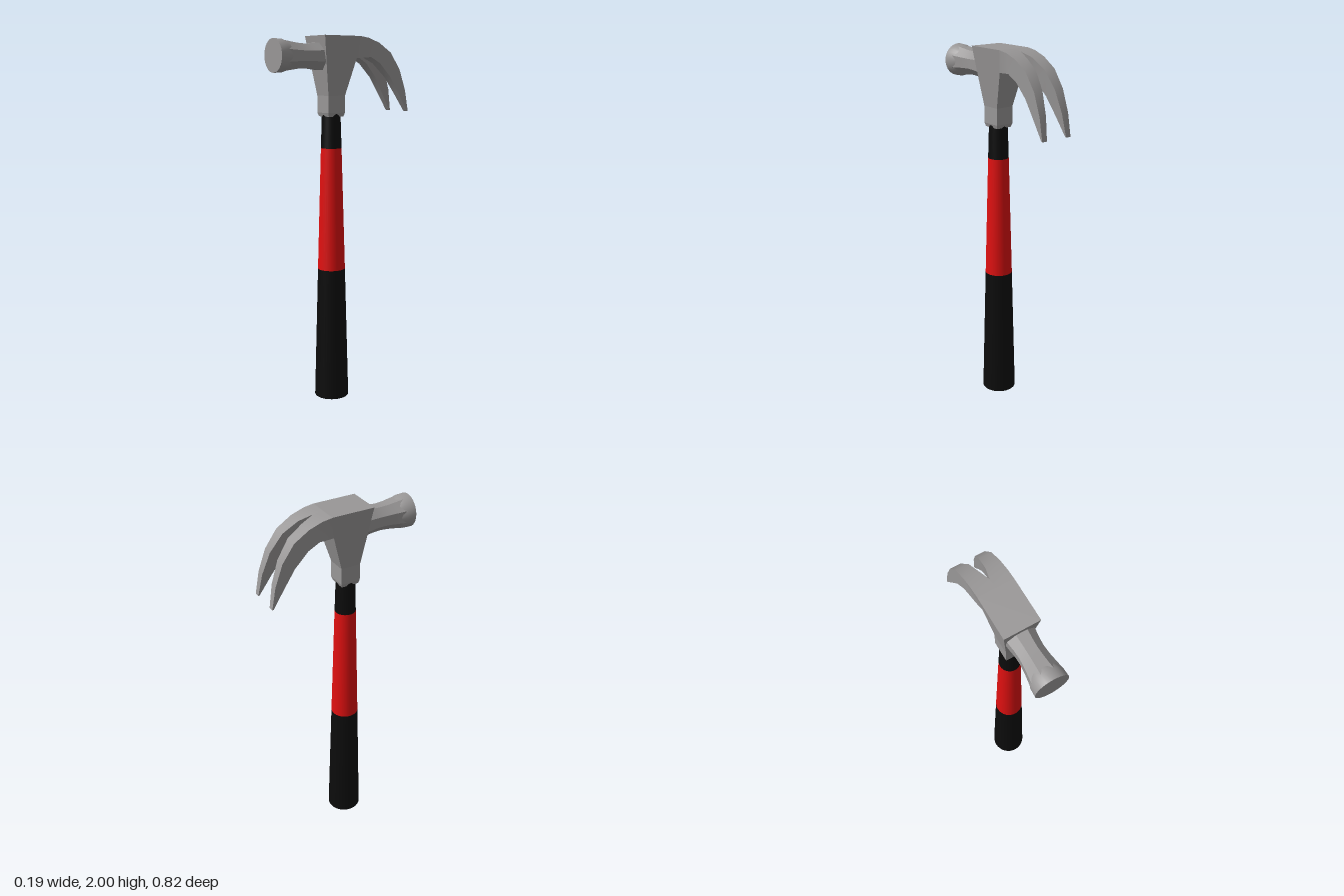
import * as THREE from 'three';
import { toCreasedNormals } from 'three/addons/utils/BufferGeometryUtils.js';

// Skins a stack of equal rings (counterclockwise seen from the far end) and caps both ends.
function loft(rings, crease) {
  const pos = [];
  const tri = (a, b, c) => pos.push(...a, ...b, ...c);
  const n = rings[0].length;
  for (let k = 0; k < rings.length - 1; k++) {
    const a = rings[k], b = rings[k + 1];
    for (let i = 0; i < n; i++) {
      const j = (i + 1) % n;
      tri(a[i], a[j], b[j]);
      tri(a[i], b[j], b[i]);
    }
  }
  const first = rings[0], last = rings[rings.length - 1];
  for (let i = 1; i < n - 1; i++) {
    tri(first[0], first[i + 1], first[i]);
    tri(last[0], last[i], last[i + 1]);
  }
  const geo = new THREE.BufferGeometry();
  geo.setAttribute('position', new THREE.Float32BufferAttribute(pos, 3));
  geo.computeVertexNormals();
  return crease ? toCreasedNormals(geo, crease) : geo;
}

export function createModel() {
  const group = new THREE.Group();
  const material = (name, color) => new THREE.MeshStandardMaterial({ name, color });
  const steel = material('steel', 0x999797);
  const black = material('black rubber', 0x0c0c0c);
  const red = material('red paint', 0xe01010);

  const add = (name, geo, mat) => {
    const mesh = new THREE.Mesh(geo, mat);
    mesh.name = name;
    group.add(mesh);
    return mesh;
  };

  // Tapered handle in three bands
  const band = (name, y0, y1, r0, r1, mat) =>
    add(name, new THREE.CylinderGeometry(r1, r0, y1 - y0, 32), mat).position.set(0, (y0 + y1) / 2, 0.052);
  band('grip', 0, 0.74, 0.095, 0.075, black);
  band('handleShaft', 0.74, 1.41, 0.075, 0.056, red);
  band('handleCollar', 1.41, 1.6, 0.056, 0.05, black);

  // Head block: [y, half width, front z, back z]
  const block = [
    [1.58, 0.046, 0.1, 0.004],
    [1.6, 0.052, 0.106, -0.002],
    [1.69, 0.052, 0.106, -0.002],
    [1.885, 0.078, 0.137, -0.06],
    [2, 0.093, 0.155, -0.075],
  ];
  add('headBlock', loft(block.map(([y, h, f, b]) => [[h, y, f], [h, y, b], [-h, y, b], [-h, y, f]])), steel);

  // Curved claw, one prong per side: [top z, top y, under z, under y, slot half width, under half width]
  const claw = [
    [-0.075, 2, -0.06, 1.885, 0, 0.078],
    [-0.13, 1.992, -0.1, 1.888, 0, 0.086],
    [-0.2, 1.968, -0.145, 1.892, 0.017, 0.093],
    [-0.28, 1.918, -0.207, 1.86, 0.027, 0.093],
    [-0.345, 1.828, -0.28, 1.787, 0.04, 0.093],
    [-0.387, 1.715, -0.34, 1.697, 0.052, 0.093],
    [-0.41, 1.597, -0.402, 1.6, 0.063, 0.093],
  ];
  for (const side of [1, -1]) {
    const rings = claw.map(([tz, ty, uz, uy, slot, under]) => {
      const ring = [
        [side * 0.093, ty, tz],
        [side * under, uy, uz],
        [side * slot, uy, uz],
        [side * slot, ty, tz],
      ];
      return side > 0 ? ring : ring.reverse();
    });
    add(side > 0 ? 'leftClaw' : 'rightClaw', loft(rings, 0.6), steel);
  }

  // Waisted octagonal neck: [z, distance from axis to flat]
  const axisY = 1.895;
  const neck = [[0.1, 0.074], [0.155, 0.069], [0.195, 0.064], [0.235, 0.062], [0.28, 0.065], [0.325, 0.071], [0.365, 0.077]];
  const neckRings = neck.map(([z, flat]) => Array.from({ length: 8 }, (_, i) => {
    const a = (i + 0.5) * Math.PI / 4, r = flat / Math.cos(Math.PI / 8);
    return [r * Math.cos(a), axisY + r * Math.sin(a), z];
  }));
  add('neck', loft(neckRings, 0.6), steel);

  // Round striking face, flaring out of the neck
  const profile = [[0, 0.32], [0.069, 0.325], [0.084, 0.365], [0.086, 0.41], [0, 0.41]]
    .map(([r, z]) => new THREE.Vector2(r, z));
  const face = new THREE.LatheGeometry(profile, 32).rotateX(Math.PI / 2).translate(0, axisY, 0);
  add('strikingFace', toCreasedNormals(face, 0.6), steel);

  return group;
}
